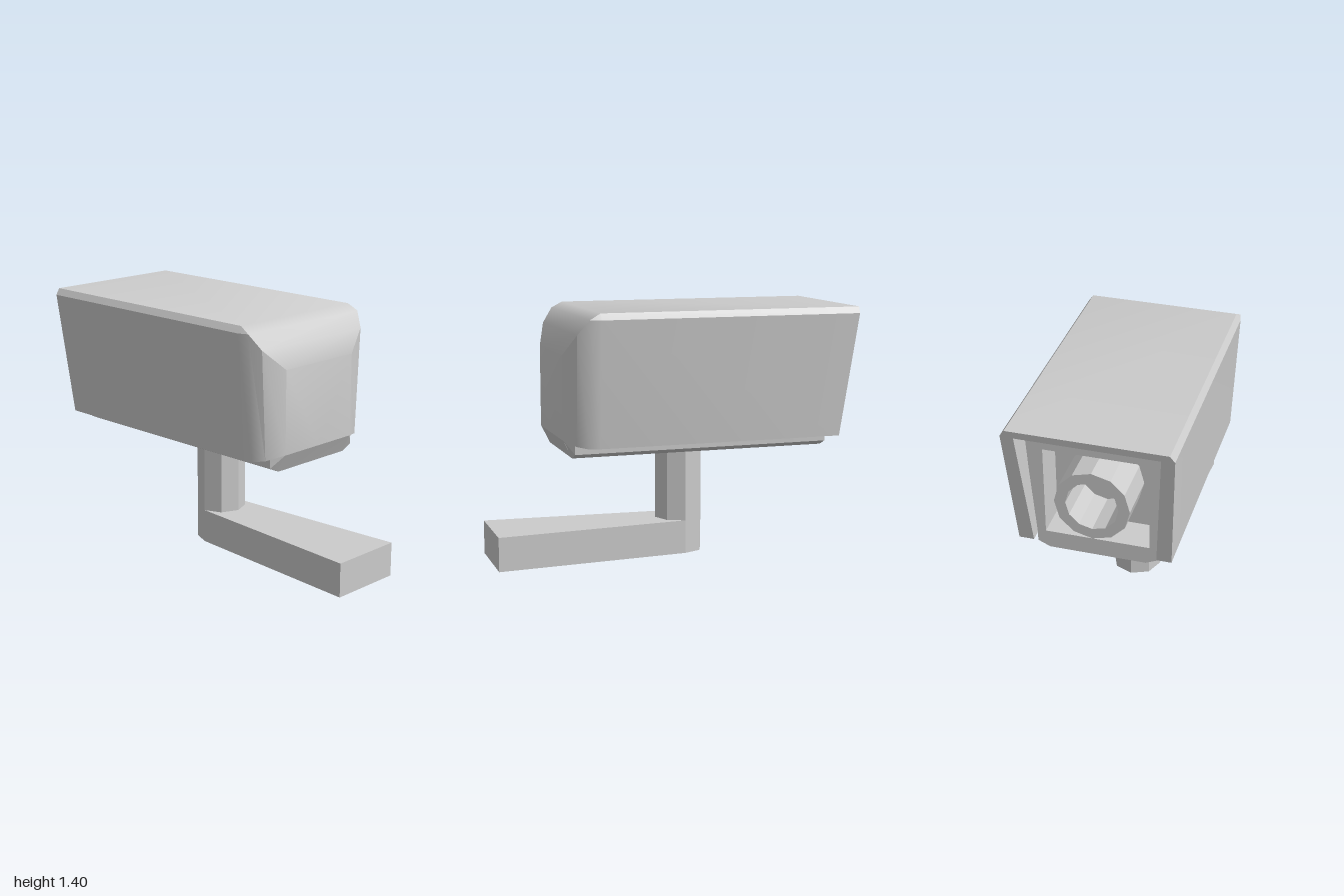
import * as THREE from 'three';
import { toCreasedNormals } from 'three/addons/utils/BufferGeometryUtils.js';

// Mirror a half section of [z, y] points into a closed ring
const mirror = (half) => [...half, ...half.map(([z, y]) => [-z, y]).reverse()];

// Loft closed rings along x, capping both ends. Each station is { x(y), half }
function loft(stations, crease) {
  const rings = stations.map(({ x, half }) =>
    mirror(half).map(([z, y]) => new THREE.Vector3(typeof x === 'function' ? x(y) : x, y, z)));
  const pos = [];
  const tri = (a, b, c) => {
    const area = new THREE.Triangle(a, b, c).getArea();
    if (area > 1e-7) pos.push(...a.toArray(), ...b.toArray(), ...c.toArray());
  };
  const n = rings[0].length;
  for (let s = 0; s < rings.length - 1; s++) {
    const a = rings[s], b = rings[s + 1];
    for (let i = 0; i < n; i++) {
      const j = (i + 1) % n;
      tri(a[i], b[i], a[j]);
      tri(a[j], b[i], b[j]);
    }
  }
  const cap = (ring, flip) => {
    const outline = ring.map((p) => new THREE.Vector2(p.z, p.y))
      .filter((p, i, all) => p.distanceTo(all[(i + 1) % all.length]) > 1e-5);
    const pts = ring.filter((p, i) => p.distanceTo(ring[(i + 1) % n]) > 1e-5);
    for (const [a, b, c] of THREE.ShapeUtils.triangulateShape(outline, [])) {
      if (flip) tri(pts[a], pts[c], pts[b]);
      else tri(pts[a], pts[b], pts[c]);
    }
  };
  cap(rings[0], false);
  cap(rings[rings.length - 1], true);
  const geo = new THREE.BufferGeometry();
  geo.setAttribute('position', new THREE.Float32BufferAttribute(pos, 3));
  return toCreasedNormals(geo, THREE.MathUtils.degToRad(crease));
}

const toShape = (points) => new THREE.Shape(points.map(([a, b]) => new THREE.Vector2(a, b)));

export function createModel() {
  const model = new THREE.Group();
  model.name = 'securityCamera';
  const smooth = new THREE.MeshStandardMaterial({ color: 0xcccccc });
  const flat = new THREE.MeshStandardMaterial({ color: 0xcccccc, flatShading: true });
  const add = (name, geometry, material) => {
    const mesh = new THREE.Mesh(geometry, material);
    mesh.name = name;
    model.add(mesh);
    return mesh;
  };

  // Hood: open-bottomed shell with a slanted front edge and a rounded back
  const shell = [[0.375, 1.36], [0.33, 0.68], [0.41, 0.68], [0.445, 1.365], [0.42, 1.4]];
  add('hood', loft([
    { x: (y) => -1 + (1.4 - y) * 0.14, half: shell },
    { x: 0.48, half: shell },
    { x: 0.54, half: [[0.34, 1.3], [0.32, 0.68], [0.4, 0.68], [0.43, 1.367], [0.43, 1.367]] },
    { x: 0.6, half: [[0.25, 1.15], [0.25, 0.69], [0.36, 0.69], [0.39, 1.285], [0.39, 1.285]] },
    { x: 0.65, half: [[0, 0.71], [0, 0.71], [0.26, 0.71], [0.26, 1.17], [0.26, 1.17]] },
  ], 30), smooth);

  // Inner body: fills the hood and shows below it
  const section = [[0.26, 0.61], [0.325, 0.64], [0.325, 0.69], [0.38, 1.37]];
  add('body', loft([
    { x: -0.66, half: section },
    { x: 0.46, half: section },
    { x: 0.6, half: [[0.26, 0.61], [0.325, 0.64], [0.325, 0.7], [0.3, 1.2]] },
    { x: 0.649, half: [[0.26, 0.71], [0.26, 0.711], [0.26, 0.72], [0.24, 1.1]] },
  ], 25), smooth);

  // Front frame around the lens recess
  const frame = toShape(mirror(section));
  frame.holes.push(toShape([[-0.28, 0.71], [-0.28, 1.22], [0.28, 1.22], [0.28, 0.71]]));
  const frameGeo = new THREE.ExtrudeGeometry(frame, { depth: 0.19, bevelEnabled: false });
  frameGeo.rotateY(Math.PI / 2).translate(-0.85, 0, 0);
  add('frontFrame', frameGeo, flat);

  // Lens barrel: hollow tube pointing forward out of the recess
  const barrel = [[0.2, 0], [0.2, 0.27], [0.14, 0.27], [0.14, 0]];
  const lensGeo = new THREE.LatheGeometry(barrel.map(([r, h]) => new THREE.Vector2(r, h)), 12);
  lensGeo.rotateZ(Math.PI / 2).translate(-0.66, 0.975, 0);
  add('lensBarrel', lensGeo, flat);

  // Octagonal post
  const postX = -0.087, r = 0.137, d = r * Math.SQRT1_2;
  add('post', new THREE.CylinderGeometry(r, r, 0.45, 8), flat).position.set(postX, 0.405, 0);

  // Mounting arm: flares from the post foot to the wall end
  const arm = toShape([
    [1, -0.212], [1, 0.212], [postX, r], [postX - d, d], [postX - r, 0], [postX - d, -d], [postX, -r],
  ]);
  const armGeo = new THREE.ExtrudeGeometry(arm, { depth: 0.19, bevelEnabled: false });
  add('mountingArm', armGeo.rotateX(-Math.PI / 2), flat);

  return model;
}
